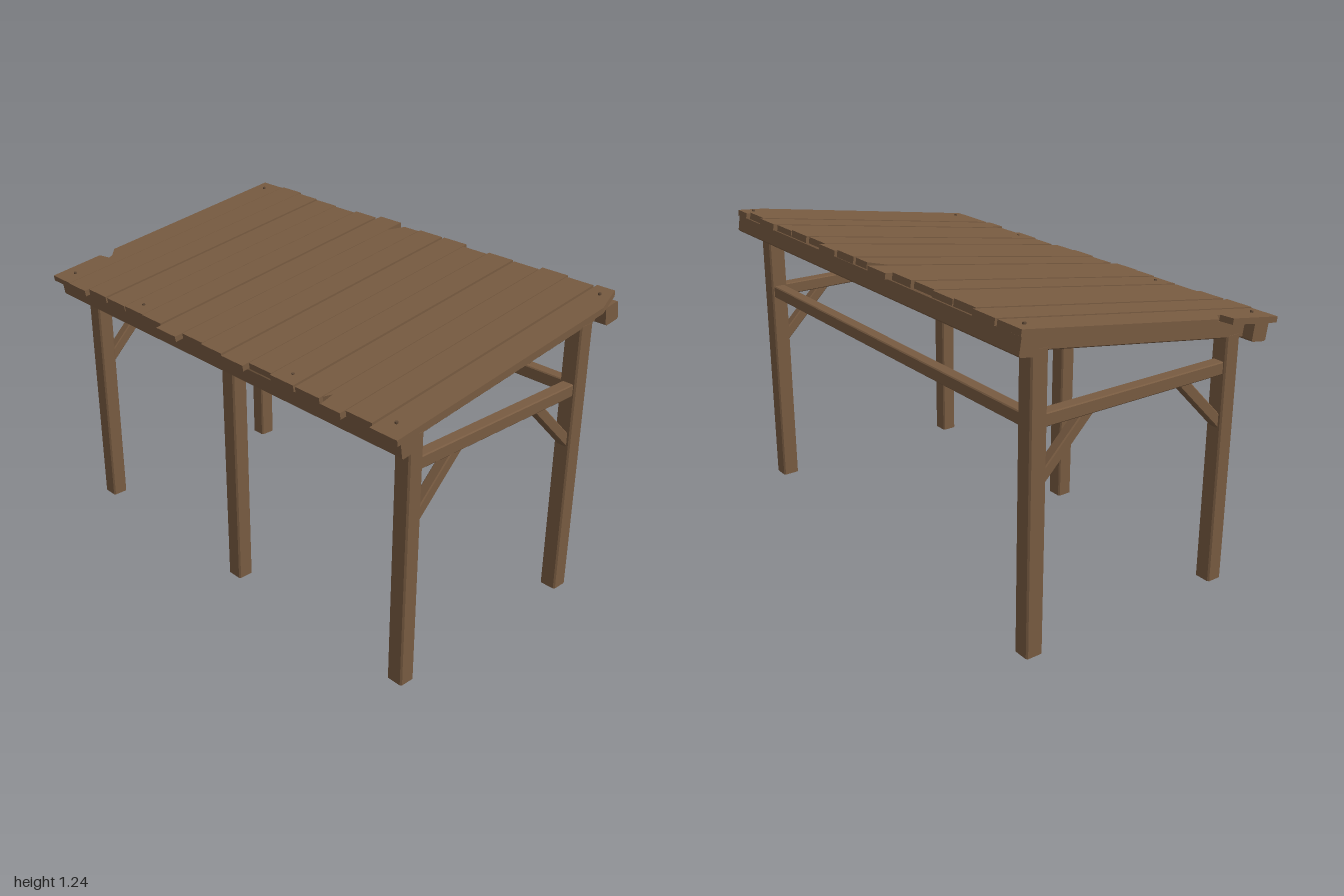
import * as THREE from 'three';

const wood = new THREE.MeshStandardMaterial({ color: 0x785b41 });
wood.name = 'brown wood';
const nailMat = new THREE.MeshStandardMaterial({ color: 0x5f4936 });
nailMat.name = 'dark nail';

// Chamfered timber from a to b; w is its size across z (across x if it runs along z)
function timber(parent, name, a, b, w, h, c = 0.006) {
  const start = new THREE.Vector3(...a);
  const dir = new THREE.Vector3(...b).sub(start);
  const length = dir.length();
  dir.normalize();
  const x = w / 2, y = h / 2;
  const section = new THREE.Shape([
    [-x + c, -y], [x - c, -y], [x, -y + c], [x, y - c],
    [x - c, y], [-x + c, y], [-x, y - c], [-x, -y + c],
  ].map(p => new THREE.Vector2(...p)));
  const geo = new THREE.ExtrudeGeometry(section, { depth: length, bevelEnabled: false });
  const side = Math.abs(dir.z) > 0.9 ? new THREE.Vector3(1, 0, 0) : new THREE.Vector3(0, 0, 1);
  const up = new THREE.Vector3().crossVectors(dir, side);
  geo.applyMatrix4(new THREE.Matrix4().makeBasis(side, up, dir).setPosition(start));
  const mesh = new THREE.Mesh(geo, wood);
  mesh.name = name;
  parent.add(mesh);
}

// Left and right ends of the roof planks, from back to front
const plankEnds = [
  [-0.585, 0.575], [-0.59, 0.58], [-0.573, 0.565], [-0.57, 0.565],
  [-0.57, 0.555], [-0.575, 0.565], [-0.6, 0.59], [-0.57, 0.565],
  [-0.58, 0.572], [-0.585, 0.58], [-0.56, 0.555], [-0.57, 0.565],
  [-0.567, 0.565], [-0.59, 0.58], [-0.57, 0.565], [-0.588, 0.58],
];

// Plan outline of one plank, with broken corners on a few of them
function plankOutline(i) {
  const [l, r] = plankEnds[i];
  const z0 = -1 + i * 0.125 + (i ? 0.003 : 0);
  const z1 = -1 + (i + 1) * 0.125 - (i < 15 ? 0.003 : 0);
  const back = [[l, z0]], front = [[r, z1], [l, z1]];
  if (i === 0) back.push([-0.355, z0], [-0.345, -0.945], [-0.325, -0.95], [-0.28, z0]);
  if (i === 7) back.push([0.505, z0], [r, -0.08]);
  else back.push([r, z0]);
  if (i === 13) back.splice(0, 1, [l, 0.655], [-0.525, 0.645], [-0.555, z0]);
  if (i === 15) front.splice(0, 1, [r, 0.955], [0.45, z1]);
  return [...back, ...front];
}

export function createModel() {
  const model = new THREE.Group();
  model.name = 'leanToShelter';

  // Posts: three on the low side, two on the high side
  for (const z of [-0.905, 0, 0.905]) {
    timber(model, 'lowPost', [-0.433, 0, z], [-0.433, 0.998, z], 0.07, 0.066);
    if (z) timber(model, 'highPost', [0.45, 0, z], [0.45, 1.13, z], 0.07, 0.07);
  }

  // End rails with a diagonal brace at each post
  for (const z of [-0.905, 0.905]) {
    timber(model, 'endRail', [-0.41, 0.875, z], [0.425, 0.875, z], 0.05, 0.05, 0.004);
    timber(model, 'lowBrace', [-0.42, 0.65, z], [-0.205, 0.865, z], 0.042, 0.042, 0.004);
    timber(model, 'highBrace', [0.435, 0.65, z], [0.22, 0.865, z], 0.042, 0.042, 0.004);
  }
  timber(model, 'sideRail', [0.45, 0.875, -0.88], [0.45, 0.875, 0.88], 0.05, 0.05, 0.004);

  // Sloping roof, with y = 0 at the underside of its planks
  const roof = new THREE.Group();
  roof.name = 'roof';
  roof.position.y = 1.122;
  roof.rotation.z = Math.atan(0.155);
  model.add(roof);

  for (const z of [-0.905, 0, 0.905])
    timber(roof, 'rafter', [-0.5, -0.034, z], [0.495, -0.034, z], 0.066, 0.068, 0.004);
  timber(roof, 'lowBeam', [-0.531, -0.036, -0.985], [-0.531, -0.036, 0.985], 0.072, 0.072, 0.006);
  timber(roof, 'highBeam', [0.529, -0.036, -0.985], [0.529, -0.036, 0.985], 0.074, 0.072, 0.006);

  const stretch = 1 / Math.cos(roof.rotation.z);
  for (let i = 0; i < 16; i++) {
    const shape = new THREE.Shape(plankOutline(i).map(([x, z]) => new THREE.Vector2(x * stretch, -z)));
    const depth = 0.023 + 0.002 * ((i * 7) % 3);
    const geo = new THREE.ExtrudeGeometry(shape, { depth, bevelEnabled: false });
    geo.rotateX(-Math.PI / 2);
    const plank = new THREE.Mesh(geo, wood);
    plank.name = 'roofPlank';
    roof.add(plank);
  }

  // Nail heads
  const nailGeo = new THREE.CylinderGeometry(0.006, 0.007, 0.012, 8);
  for (const [x, z] of [[-0.525, -0.935], [0.53, -0.945], [-0.525, 0.93], [0.53, 0.93], [-0.525, 0.44], [-0.525, -0.44]]) {
    const nail = new THREE.Mesh(nailGeo, nailMat);
    nail.name = 'nailHead';
    nail.position.set(x, 0.024, z);
    roof.add(nail);
  }
  return model;
}
